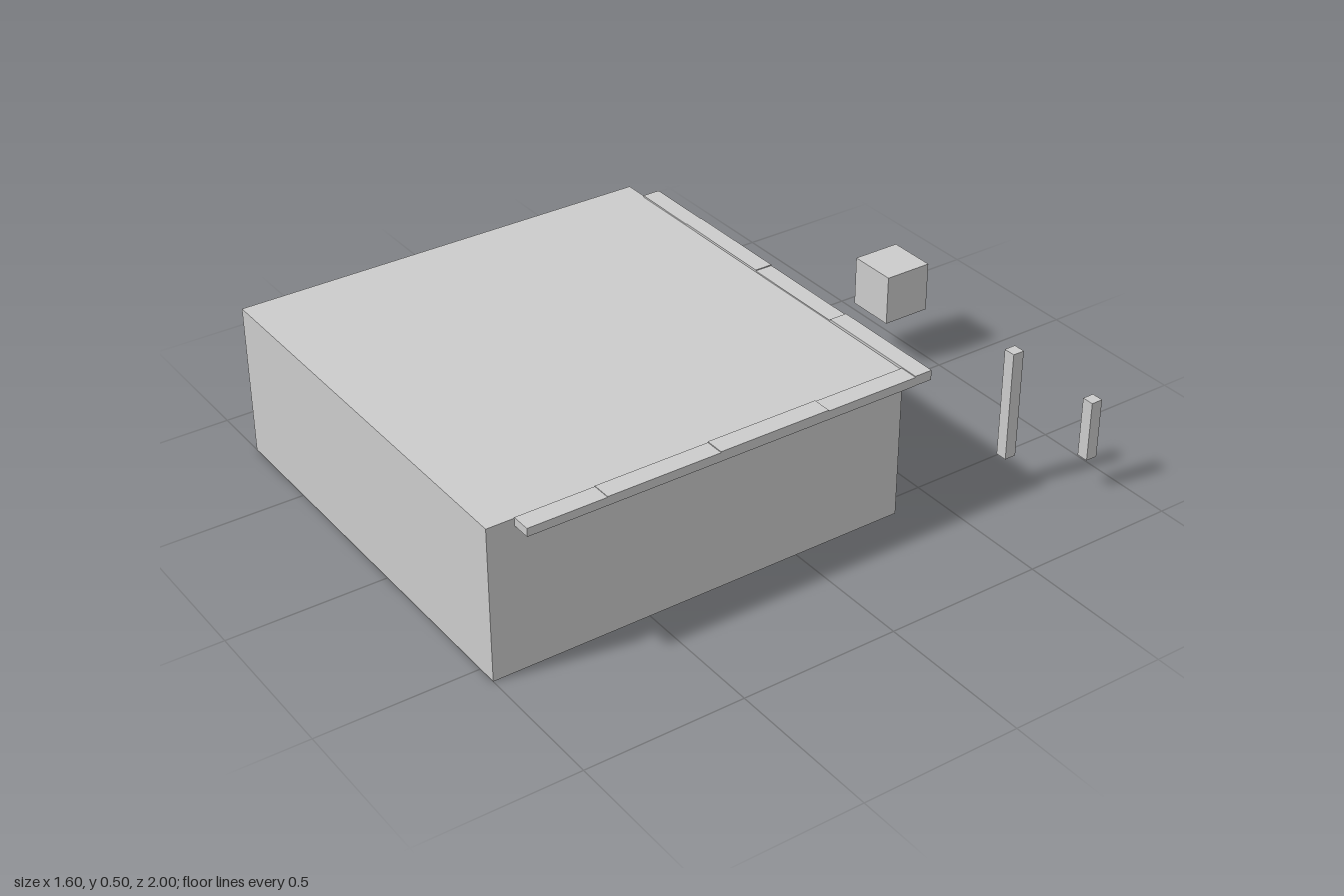
import * as THREE from 'three';

const material = new THREE.MeshStandardMaterial({ color: 0xcccccc, flatShading: true });

export function createModel() {
  const model = new THREE.Group();

  // Box given by its extents along each axis
  function block(name, [x0, x1], [y0, y1], [z0, z1], parent = model) {
    const mesh = new THREE.Mesh(new THREE.BoxGeometry(x1 - x0, y1 - y0, z1 - z0), material);
    mesh.position.set((x0 + x1) / 2, (y0 + y1) / 2, (z0 + z1) / 2);
    mesh.name = name;
    parent.add(mesh);
    return mesh;
  }

  // Main building
  block('building', [-0.8, 0.565], [0, 0.488], [-0.36, 1]);

  // Eaves: short lengths of trim at slightly stepped heights
  const eaves = new THREE.Group();
  eaves.name = 'eaves';
  model.add(eaves);
  const backStops = [-0.715, -0.48, -0.12, 0.24, 0.625];
  const sideStops = [-0.355, -0.05, 0.31, 0.67, 0.915];
  const backTops = [0.493, 0.495, 0.492, 0.496];
  const sideTops = [0.493, 0.496, 0.493, 0.491];
  for (let i = 0; i < 4; i++) {
    block('backEave', [backStops[i], backStops[i + 1]], [0.465, backTops[i]], [-0.413, -0.355], eaves);
    block('sideEave', [0.565, 0.626], [0.465, sideTops[i]], [sideStops[i], sideStops[i + 1]], eaves);
  }

  // Back door with raised frame and knob
  const door = new THREE.Group();
  door.name = 'door';
  model.add(door);
  block('doorPanel', [-0.226, -0.09], [0.022, 0.324], [-0.367, -0.355], door);
  block('frameTop', [-0.24, -0.078], [0.324, 0.34], [-0.376, -0.355], door);
  block('frameBottom', [-0.24, -0.078], [0.01, 0.022], [-0.376, -0.355], door);
  block('frameRight', [-0.24, -0.226], [0.022, 0.324], [-0.376, -0.355], door);
  block('frameLeft', [-0.09, -0.078], [0.022, 0.324], [-0.376, -0.355], door);
  const knob = new THREE.Mesh(new THREE.CylinderGeometry(0.006, 0.006, 0.02, 8), material);
  knob.name = 'doorKnob';
  knob.rotation.x = Math.PI / 2;
  knob.position.set(-0.105, 0.175, -0.377);
  door.add(knob);

  // Detached crate and posts
  block('crate', [-0.24, -0.08], [0.167, 0.33], [-1, -0.84]);
  block('tallPost', [0.618, 0.656], [0.11, 0.465], [-0.73, -0.692]);
  block('shortPost', [0.758, 0.796], [0.11, 0.305], [-0.92, -0.882]);

  return model;
}
